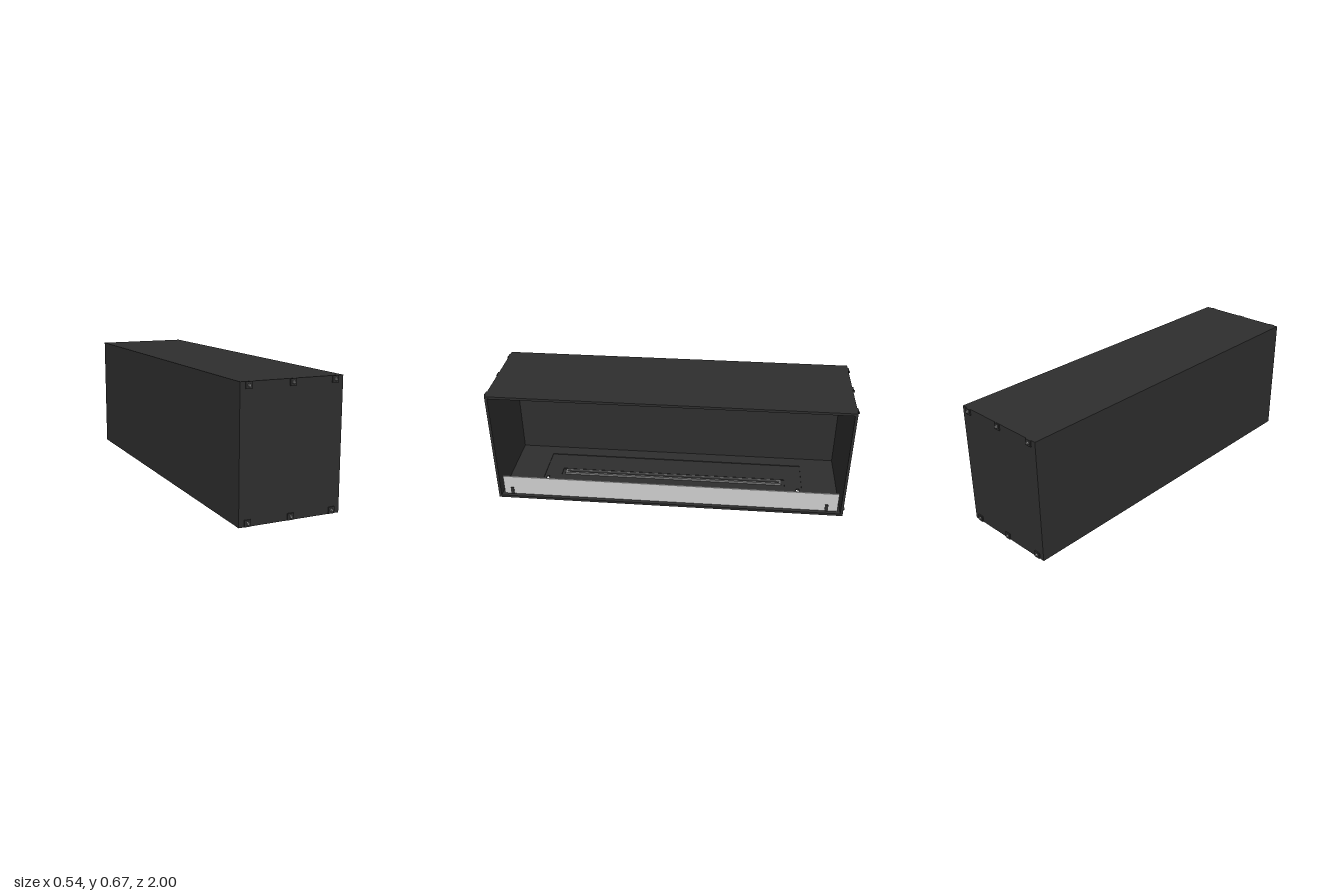
import * as THREE from 'three';

const dark = new THREE.MeshStandardMaterial({ color: 0x2e2e2e });
const steel = new THREE.MeshStandardMaterial({ color: 0x777777 });
const grey = new THREE.MeshStandardMaterial({ color: 0xcccccc });

const W = 0.542, H = 0.67, D = 1.972, T = 0.014; // casing size and sheet thickness

export function createModel() {
  const model = new THREE.Group();

  const add = (name, geometry, material, x, y, z, parent = model) => {
    const mesh = new THREE.Mesh(geometry, material);
    mesh.name = name;
    mesh.position.set(x, y, z);
    parent.add(mesh);
    return mesh;
  };
  const box = (name, w, h, d, material, x, y, z, parent) =>
    add(name, new THREE.BoxGeometry(w, h, d), material, x, y, z, parent);

  // Horizontal plate with rectangular holes, each given as [x, z, width, depth]
  const rect = (path, x, z, w, d) => {
    path.moveTo(x - w / 2, -z - d / 2);
    path.lineTo(x + w / 2, -z - d / 2);
    path.lineTo(x + w / 2, -z + d / 2);
    path.lineTo(x - w / 2, -z + d / 2);
    path.closePath();
    return path;
  };
  const plate = (name, w, d, t, y, holes) => {
    const shape = rect(new THREE.Shape(), 0, 0, w, d);
    for (const h of holes) shape.holes.push(rect(new THREE.Path(), ...h));
    const geometry = new THREE.ExtrudeGeometry(shape, { depth: t, bevelEnabled: false });
    geometry.rotateX(-Math.PI / 2);
    return add(name, geometry, dark, 0, y, 0);
  };

  // Casing: roof, closed side and two ends; the +x side is open
  const inner = D - 2 * T;
  box('roofPanel', W, T, inner, dark, 0, H - T / 2, 0);
  box('closedSidePanel', T, H - 2 * T, inner, dark, -W / 2 + T / 2, H / 2, 0);
  for (const s of [1, -1])
    box(s > 0 ? 'frontPanel' : 'backPanel', W, H, T, dark, 0, H / 2, s * (D - T) / 2);

  // Floor with an inset tray, which has a burner slot and two finger slots
  plate('floor', W, inner, T, 0, [[0, 0, 0.356, 1.538]]);
  plate('burnerTray', 0.356, 1.538, 0.009, 0.001, [
    [0, 0, 0.066, 1.34],
    [0.085, 0.746, 0.065, 0.016],
    [0.085, -0.746, 0.065, 0.016],
  ]);

  // Burner: sunken base with a raised channel
  const burner = new THREE.Group();
  burner.name = 'burner';
  model.add(burner);
  box('burnerBase', 0.066, 0.003, 1.34, dark, 0, 0.0035, 0, burner);
  for (const s of [1, -1]) {
    box('burnerRail', 0.012, 0.013, 1.3, steel, s * 0.014, 0.0115, 0, burner);
    box('burnerEnd', 0.016, 0.013, 0.012, steel, 0, 0.0115, s * 0.644, burner);
  }
  box('burnerChannel', 0.016, 0.006, 1.276, dark, 0, 0.008, 0, burner);

  // Glass screen along the open side, held by two clips
  box('glassScreen', 0.008, 0.118, 1.914, grey, 0.244, 0.073, 0);
  for (const z of [0.91, -0.895])
    box('glassClip', 0.018, 0.044, 0.018, dark, 0.244, T + 0.021, z);

  // Square pads with hexagonal bolts on both ends
  const headGeometry = new THREE.CylinderGeometry(0.007, 0.009, 0.008, 6).toNonIndexed();
  headGeometry.rotateX(Math.PI / 2);
  headGeometry.computeVertexNormals();
  for (const s of [1, -1])
    for (const x of [-0.227, 0, 0.227])
      for (const y of [0.018, H - 0.017]) {
        const bolt = new THREE.Group();
        bolt.name = 'endBolt';
        bolt.position.set(x, y, s * D / 2);
        if (s < 0) bolt.rotation.y = Math.PI;
        model.add(bolt);
        box('boltPad', 0.033, 0.033, 0.006, dark, 0, 0, 0.003, bolt);
        add('boltHead', headGeometry, steel, 0, 0, 0.01, bolt);
      }

  return model;
}
